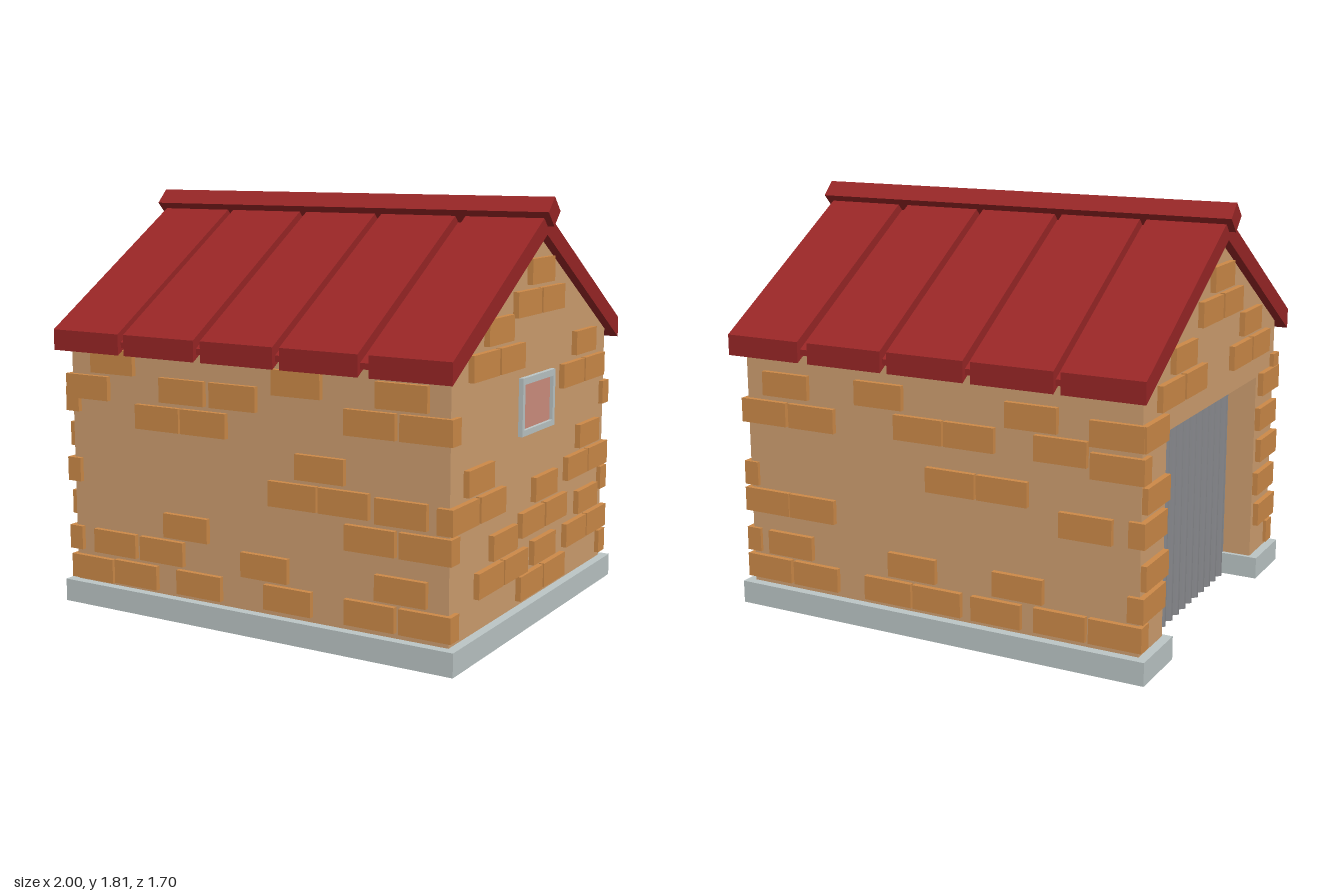
import * as THREE from 'three';

const material = (name, color, side = THREE.FrontSide) => {
  const m = new THREE.MeshStandardMaterial({ color, side });
  m.name = name;
  return m;
};

export function createModel() {
  const model = new THREE.Group();
  model.name = 'brickShed';
  const plaster = material('plaster', 0xcf9f70, THREE.DoubleSide);
  const brickMat = material('brick', 0xcd8a48);
  const stone = material('paleStone', 0xbcc6c6);
  const roofRed = material('roofRed', 0x992626);
  const glassMat = material('tintedGlass', 0xd08f80);
  const doorGrey = material('doorGrey', 0x85868a, THREE.DoubleSide);

  const add = (name, geometry, mat, parent = model) => {
    const mesh = new THREE.Mesh(geometry, mat);
    mesh.name = name;
    parent.add(mesh);
    return mesh;
  };
  // Box given by its limits on each axis
  const block = (name, [x0, x1], [y0, y1], [z0, z1], mat, parent) => {
    const g = new THREE.BoxGeometry(x1 - x0, y1 - y0, z1 - z0);
    g.translate((x0 + x1) / 2, (y0 + y1) / 2, (z0 + z1) / 2);
    return add(name, g, mat, parent);
  };
  const shapeOf = (points) => new THREE.Shape(points.map(([x, y]) => new THREE.Vector2(x, y)));
  // Profile drawn in z and y, extruded along x
  const alongX = (shape, x0, x1) => new THREE.ExtrudeGeometry(shape, { depth: x1 - x0, bevelEnabled: false })
    .rotateY(-Math.PI / 2).translate(x1, 0, 0);

  const WX = 0.93, WZ = 0.78, EAVE = 1.19, PEAK = 1.67;
  const DOOR = 0.54, LINTEL = 0.96, DOOR_X = -0.8;

  // Walls: thin shell, open underneath
  const walls = new THREE.Group();
  walls.name = 'walls';
  model.add(walls);
  for (const s of [1, -1]) {
    const side = add(s > 0 ? 'frontWall' : 'backWall', new THREE.PlaneGeometry(2 * WX, EAVE), plaster, walls);
    side.position.set(0, EAVE / 2, s * WZ);
    side.rotation.y = s > 0 ? 0 : Math.PI;
  }
  const gableTop = [[WZ, 0], [WZ, EAVE], [0, PEAK], [-WZ, EAVE], [-WZ, 0]];
  add('windowWall', new THREE.ShapeGeometry(shapeOf(gableTop)).rotateY(Math.PI / 2).translate(WX, 0, 0), plaster, walls);
  const doorway = [[-DOOR, 0], [-DOOR, LINTEL], [DOOR, LINTEL], [DOOR, 0]];
  add('doorWall', new THREE.ShapeGeometry(shapeOf([...gableTop, ...doorway]))
    .rotateY(-Math.PI / 2).translate(-WX, 0, 0), plaster, walls);

  // Door reveal
  const depth = DOOR_X + WX;
  for (const s of [1, -1]) {
    const jamb = add('doorJamb', new THREE.PlaneGeometry(depth, LINTEL), plaster, walls);
    jamb.position.set(-WX + depth / 2, LINTEL / 2, s * DOOR);
    jamb.rotation.y = s > 0 ? Math.PI : 0;
  }
  add('doorLintel', new THREE.PlaneGeometry(depth, 2 * DOOR).rotateX(Math.PI / 2)
    .translate(-WX + depth / 2, LINTEL, 0), plaster, walls);

  // Corrugated door
  const doorGeo = new THREE.PlaneGeometry(2 * DOOR, LINTEL + 0.02, 112, 1);
  const dp = doorGeo.attributes.position;
  for (let i = 0; i < dp.count; i++) {
    dp.setZ(i, 0.016 * Math.sin((dp.getX(i) / DOOR) * Math.PI * 14));
  }
  doorGeo.computeVertexNormals();
  doorGeo.rotateY(-Math.PI / 2).translate(DOOR_X, (LINTEL + 0.02) / 2, 0);
  add('corrugatedDoor', doorGeo, doorGrey);

  // Footing: outer skirt with a top ledge, broken at the doorway
  const footing = new THREE.Group();
  footing.name = 'footing';
  model.add(footing);
  const BX = 0.97, BZ = 0.82, H = 0.1;
  block('windowSkirt', [BX - 0.02, BX], [0, H], [-BZ, BZ], stone, footing);
  block('windowLedge', [0.86, BX], [0.08, H], [-BZ, BZ], stone, footing);
  for (const s of [1, -1]) {
    const span = (a, b) => (s > 0 ? [a, b] : [-b, -a]);
    block('longSkirt', [-BX, BX], [0, H], span(BZ - 0.02, BZ), stone, footing);
    block('longLedge', [-BX, BX], [0.08, H], span(0.71, BZ), stone, footing);
    block('doorSkirt', [-BX, -BX + 0.02], [0, H], span(DOOR - 0.02, BZ), stone, footing);
    block('doorLedge', [-BX, DOOR_X], [0.08, H], span(DOOR - 0.02, BZ), stone, footing);
    block('doorEnd', [-BX, DOOR_X], [0, H], span(DOOR - 0.02, DOOR), stone, footing);
  }

  // Scattered bricks: [centre along the wall, centre height]
  const bricks = new THREE.Group();
  bricks.name = 'bricks';
  model.add(bricks);
  const frontBricks = [
    [-0.695, 1.1], [-0.835, 0.98], [-0.325, 1], [-0.065, 1], [-0.455, 0.875], [-0.215, 0.875],
    [0.245, 1.08], [0.725, 1.07], [0.585, 0.95], [0.835, 0.95], [0.355, 0.745], [0.225, 0.62],
    [0.465, 0.62], [0.725, 0.61], [0.585, 0.485], [0.835, 0.485], [-0.315, 0.415], [-0.7, 0.295],
    [-0.445, 0.295], [0.085, 0.3], [0.725, 0.3], [-0.83, 0.165], [-0.588, 0.17], [-0.25, 0.173],
    [0.198, 0.178], [0.585, 0.178], [0.835, 0.178]];
  const backBricks = [
    [0.835, 0.89], [0.59, 0.89], [0.72, 1.02], [0.25, 1.03], [0.06, 0.905], [-0.18, 0.905],
    [-0.46, 1.02], [-0.83, 0.99], [-0.59, 0.9], [-0.835, 0.86], [-0.09, 0.7], [-0.33, 0.7],
    [0.835, 0.485], [0.6, 0.485], [-0.7, 0.6], [0.72, 0.3], [0.1, 0.3], [-0.4, 0.3],
    [0.835, 0.178], [0.59, 0.178], [0.22, 0.175], [-0.02, 0.175], [-0.3, 0.175], [-0.59, 0.178], [-0.835, 0.178]];
  const windowBricks = [
    [-0.012, 1.508], [0.122, 1.383], [-0.125, 1.383], [0.388, 1.298], [0.522, 1.173], [0.275, 1.173],
    [-0.505, 1.158], [-0.37, 1.028], [-0.615, 1.028], [0.552, 0.728], [-0.57, 0.728], [0.688, 0.603],
    [0.44, 0.603], [-0.092, 0.578], [-0.438, 0.603], [-0.68, 0.603], [0.318, 0.418], [0.042, 0.45],
    [-0.205, 0.45], [-0.57, 0.423], [0.45, 0.293], [0.208, 0.293], [-0.085, 0.303], [-0.438, 0.298],
    [-0.68, 0.298], [0.048, 0.178], [-0.195, 0.178]];
  const doorBricks = [
    [0.02, 1.5], [0.14, 1.375], [-0.11, 1.375], [0.4, 1.25], [-0.4, 1.24], [-0.28, 1.115], [-0.53, 1.115],
    [0.28, 1.12], [0.53, 1.12], [0.685, 0.92], [0.685, 0.605], [0.685, 0.295], [0.66, 0.45],
    [0.66, 0.76], [-0.685, 0.99], [-0.66, 0.74], [-0.685, 0.605], [-0.66, 0.425], [-0.685, 0.298]];
  const L = 0.115, T = 0.053;
  for (const [list, s] of [[frontBricks, 1], [backBricks, -1]]) {
    const z = s > 0 ? [0.73, 0.803] : [-0.803, -0.73];
    for (const [x, y] of list) block('brick', [x - L, x + L], [y - T, y + T], z, brickMat, bricks);
  }
  for (const [list, s] of [[windowBricks, 1], [doorBricks, -1]]) {
    const x = s > 0 ? [0.885, 0.955] : [-0.955, -0.885];
    for (const [z, y] of list) block('brick', x, [y - T, y + T], [z - L, z + L], brickMat, bricks);
  }

  // Window
  const rect = (w, y0, y1) => [[-w, y0], [w, y0], [w, y1], [-w, y1]];
  const frame = shapeOf(rect(0.167, 0.83, 1.075));
  frame.holes.push(shapeOf(rect(0.145, 0.855, 1.047)));
  add('windowFrame', alongX(frame, 0.905, 0.95), stone);
  block('windowGlass', [0.927, 0.935], [0.85, 1.05], [-0.15, 0.15], glassMat);

  // Roof: five panels over a slightly recessed layer, with a diamond ridge beam
  const chevron = (z, under, over, drop) => shapeOf([
    [-z, under], [0, under + drop], [z, under], [z, over], [0, over + drop], [-z, over]]);
  const roof = new THREE.Group();
  roof.name = 'roof';
  model.add(roof);
  const panel = chevron(0.85, 1.14, 1.23, 0.515);
  for (const [x0, x1] of [[-0.97, -0.615], [-0.585, -0.22], [-0.185, 0.17], [0.202, 0.562], [0.61, 0.97]]) {
    add('roofPanel', alongX(panel, x0, x1), roofRed, roof);
  }
  add('roofUnderlay', alongX(chevron(0.83, 1.17, 1.195, 0.505), -0.95, 0.95), roofRed, roof);
  const ridge = add('ridgeBeam', new THREE.BoxGeometry(2, 0.086, 0.086), roofRed, roof);
  ridge.position.y = 1.75;
  ridge.rotation.x = Math.PI / 4;

  return model;
}
